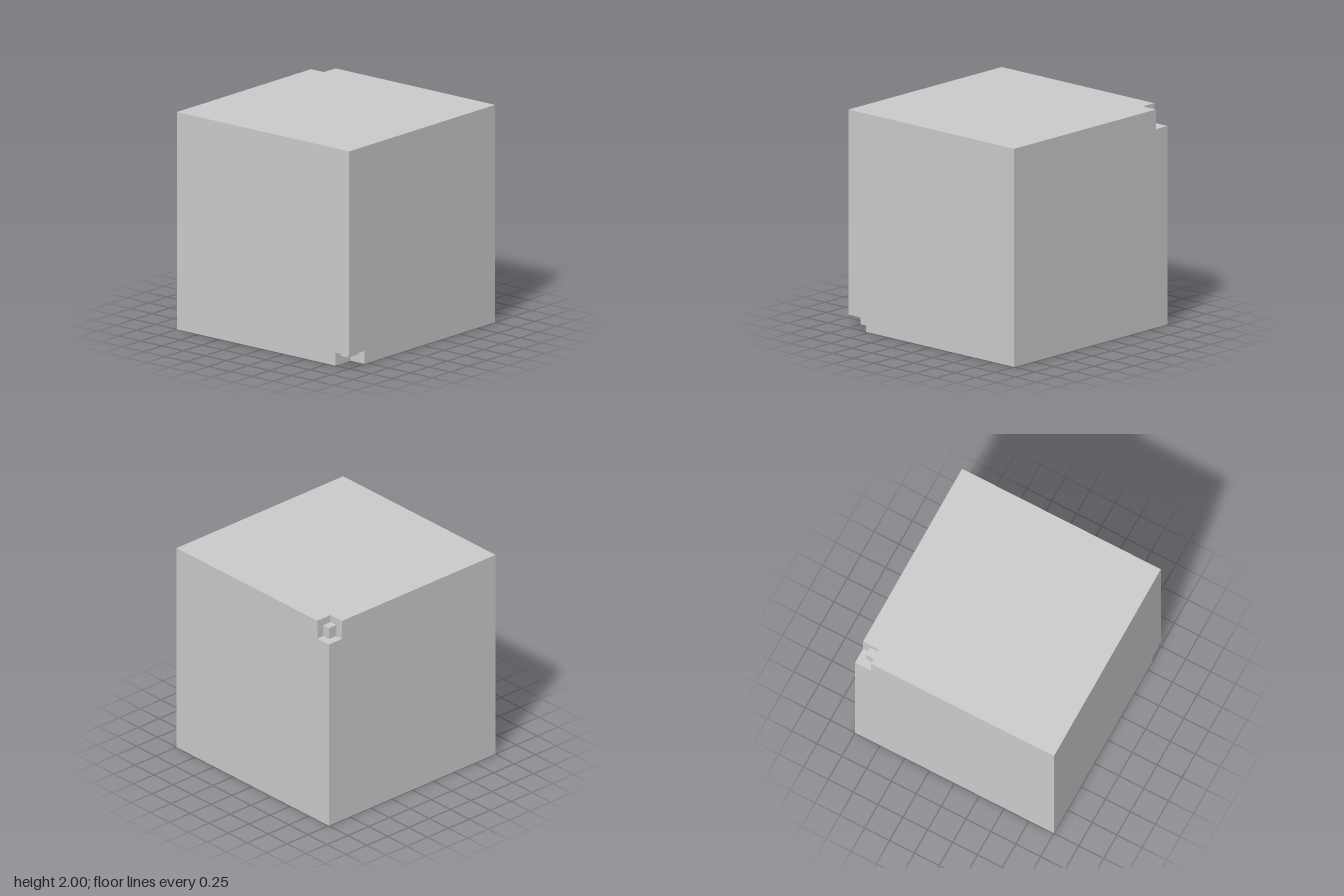
import * as THREE from 'three';

const material = new THREE.MeshStandardMaterial({ color: 0xcccccc });

// Each notch sits on one cube corner, with a small block left in its inner corner
const notches = [
  { corner: [1, -1, 1], size: [0.16, 0.12, 0.21], block: [0.085, 0.045, 0.14] },
  { corner: [-1, 1, -1], size: [0.15, 0.18, 0.16], block: [0.075, 0.11, 0.09] },
];

// Adds a flat polygon lying across axis k at the given level, facing along sign
function addPanel(positions, k, level, sign, outline) {
  const i = (k + 1) % 3, j = (k + 2) % 3;
  const points = outline.map(([u, v]) => new THREE.Vector2(u, v));
  for (const [a, b, c] of THREE.ShapeUtils.triangulateShape(points, [])) {
    const area = THREE.ShapeUtils.area([points[a], points[b], points[c]]);
    const order = area * sign > 0 ? [a, b, c] : [a, c, b];
    for (const n of order) {
      const p = [0, 0, 0];
      p[i] = points[n].x;
      p[j] = points[n].y;
      p[k] = level;
      positions.push(p[0], p[1] + 1, p[2]);
    }
  }
}

// The cube: every face is L-shaped, as it touches exactly one notched corner
function notchedCube() {
  const positions = [];
  for (const { corner, size } of notches) {
    const inner = corner.map((c, n) => c - c * size[n]);
    for (let k = 0; k < 3; k++) {
      const i = (k + 1) % 3, j = (k + 2) % 3;
      const [u, v, iu, iv] = [corner[i], corner[j], inner[i], inner[j]];
      // outer face
      addPanel(positions, k, corner[k], corner[k],
        [[-u, -v], [u, -v], [u, iv], [iu, iv], [iu, v], [-u, v]]);
      // notch wall
      addPanel(positions, k, inner[k], corner[k],
        [[iu, iv], [u, iv], [u, v], [iu, v]]);
    }
  }
  const geometry = new THREE.BufferGeometry();
  geometry.setAttribute('position', new THREE.Float32BufferAttribute(positions, 3));
  geometry.computeVertexNormals();
  return geometry;
}

export function createModel() {
  const model = new THREE.Group();
  model.name = 'notchedCube';

  const body = new THREE.Mesh(notchedCube(), material);
  body.name = 'cubeBody';
  model.add(body);

  // Small blocks filling the inner corner of each notch
  for (const { corner, size, block } of notches) {
    const mesh = new THREE.Mesh(new THREE.BoxGeometry(...block), material);
    mesh.name = corner[1] > 0 ? 'upperNotchBlock' : 'lowerNotchBlock';
    const centre = corner.map((c, n) => c * (1 - size[n] + block[n] / 2));
    mesh.position.set(centre[0], centre[1] + 1, centre[2]);
    model.add(mesh);
  }
  return model;
}
